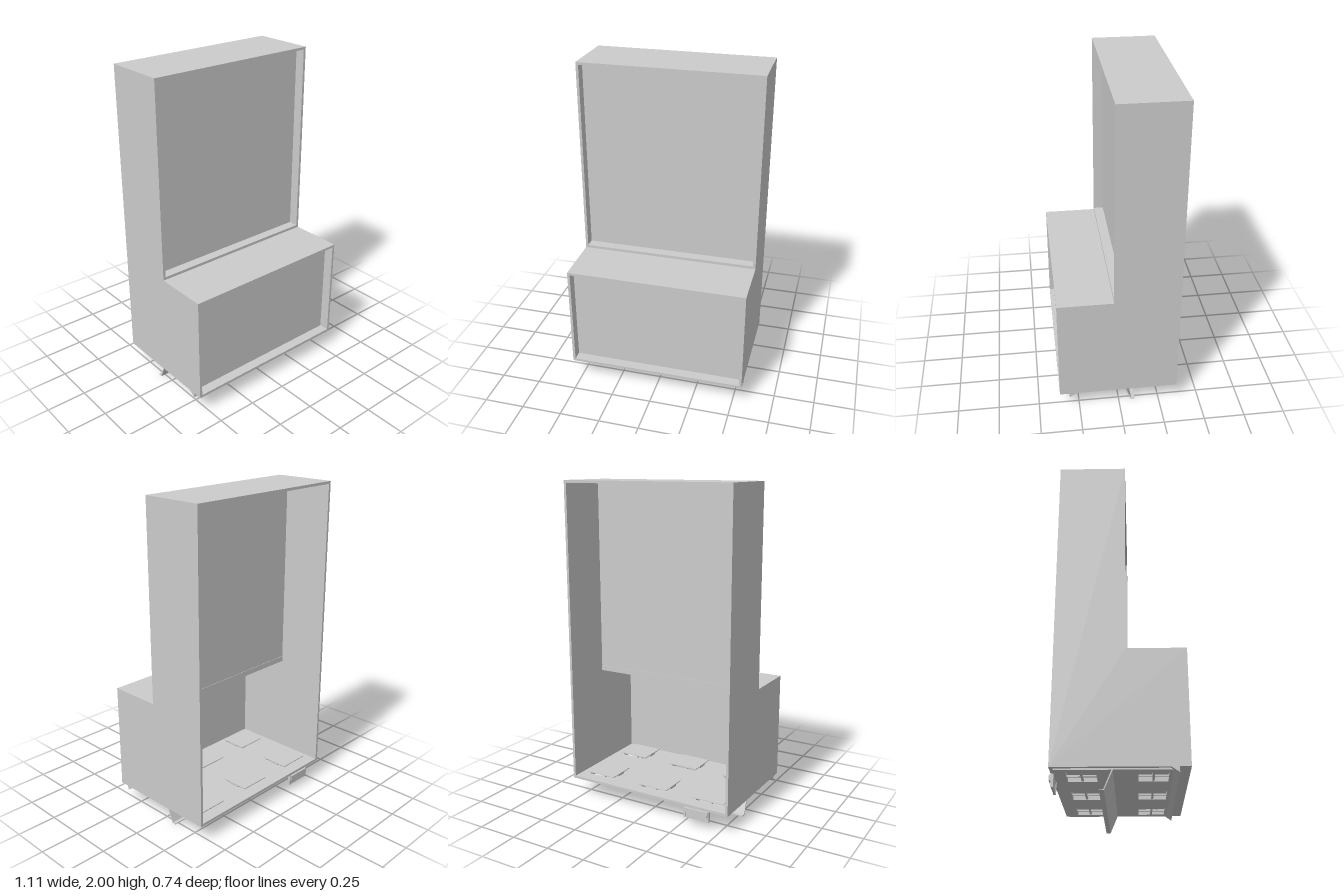
import * as THREE from 'three';

const W = 1.11, T = 0.016, BACK = -0.36, STEP = 0.035, FRONT = 0.37;
const BASE = 0.115, SHELF = 0.78, TOP = 2;

export function createModel() {
  const root = new THREE.Group();
  const mat = new THREE.MeshStandardMaterial({ color: 0xcccccc, flatShading: true, side: THREE.DoubleSide });

  const add = (name, geo) => {
    const m = new THREE.Mesh(geo, mat);
    m.name = name;
    root.add(m);
    return m;
  };
  // Box given by its limits on each axis
  const box = (name, x0, x1, y0, y1, z0, z1) =>
    add(name, new THREE.BoxGeometry(x1 - x0, y1 - y0, z1 - z0))
      .position.set((x0 + x1) / 2, (y0 + y1) / 2, (z0 + z1) / 2);
  // A (z, y) profile swept along x
  const sweep = (name, pts, x0, x1) => {
    const shape = new THREE.Shape(pts.map(([z, y]) => new THREE.Vector2(z, y)));
    const geo = new THREE.ExtrudeGeometry(shape, { depth: x1 - x0, bevelEnabled: false });
    geo.rotateY(-Math.PI / 2);
    add(name, geo).position.x = x1;
  };
  const rect = (Type, x0, x1, z0, z1) => new Type([
    new THREE.Vector2(x0, z0), new THREE.Vector2(x1, z0),
    new THREE.Vector2(x1, z1), new THREE.Vector2(x0, z1)]);

  const X = W / 2, IN = X - T;

  // L-shaped side walls
  const side = [[BACK, BASE], [FRONT, BASE], [FRONT, SHELF], [STEP, SHELF], [STEP, TOP], [BACK, TOP]];
  sweep('rightWall', side, -X, -IN);
  sweep('leftWall', side, IN, X);

  // Top, shelf, and sill under the upper panel
  box('topWall', -IN, IN, TOP - T, TOP, BACK, STEP);
  box('shelf', -IN, IN, SHELF - T, SHELF, -0.045, FRONT);
  box('upperSill', -IN, IN, SHELF, 0.798, -0.045, STEP);

  // Recessed front panels; the back stays open
  box('upperPanel', -IN, IN, 0.798, TOP - T, -0.042, -0.027);
  box('lowerPanel', -IN, IN, BASE + T, SHELF - T, 0.292, 0.307);

  // Floor and underlay, both pierced by vent openings
  const vents = [];
  for (const x of [-0.39, 0, 0.39]) for (const z of [-0.2, 0.18]) vents.push([x, z]);
  const pierced = (name, x, z0, z1, top, depth) => {
    const shape = rect(THREE.Shape, -x, x, z0, z1);
    for (const [vx, vz] of vents)
      shape.holes.push(rect(THREE.Path, vx - 0.09, vx + 0.09, vz - 0.08, vz + 0.08));
    const geo = new THREE.ExtrudeGeometry(shape, { depth, bevelEnabled: false });
    geo.rotateX(Math.PI / 2);
    add(name, geo).position.y = top;
  };
  pierced('floor', IN, BACK, FRONT, BASE + T, T);
  pierced('underlay', 0.53, -0.34, 0.28, BASE, 0.009);

  // Vents: raised cover inside, cross bars underneath
  for (const [x, z] of vents) {
    box('ventCover', x - 0.1, x + 0.1, 0.142, 0.147, z - 0.09, z + 0.09);
    box('ventBarAcross', x - 0.09, x + 0.09, 0.108, 0.118, z - 0.006, z + 0.006);
    box('ventBarAlong', x - 0.006, x + 0.006, 0.108, 0.118, z - 0.08, z + 0.08);
    for (const s of [-1, 1])
      box('ventPost', x + s * 0.095 - 0.004, x + s * 0.095 + 0.004, 0.131, 0.142, z - 0.03, z + 0.03);
  }

  // Front lip under the floor
  sweep('frontLip', [[0.31, 0.085], [0.31, BASE], [0.265, BASE], [0.28, 0.105]], -X, X);

  // Slanted flap with a small foot
  sweep('flap', [[-0.03, 0.11], [-0.038, 0.11], [-0.08, 0.005], [-0.102, 0.005],
    [-0.102, 0], [-0.076, 0]], -0.53, 0.525);

  // Bracket at the back edge
  box('bracketPlate', -0.425, -0.275, 0.045, BASE, -0.358, -0.348);
  box('bracketHood', -0.425, -0.27, 0.08, BASE - 0.003, -0.37, -0.358);
  for (const x of [-0.432, -0.272])
    box('bracketFlange', x, x + 0.008, 0.045, BASE, -0.36, -0.345);

  return root;
}
